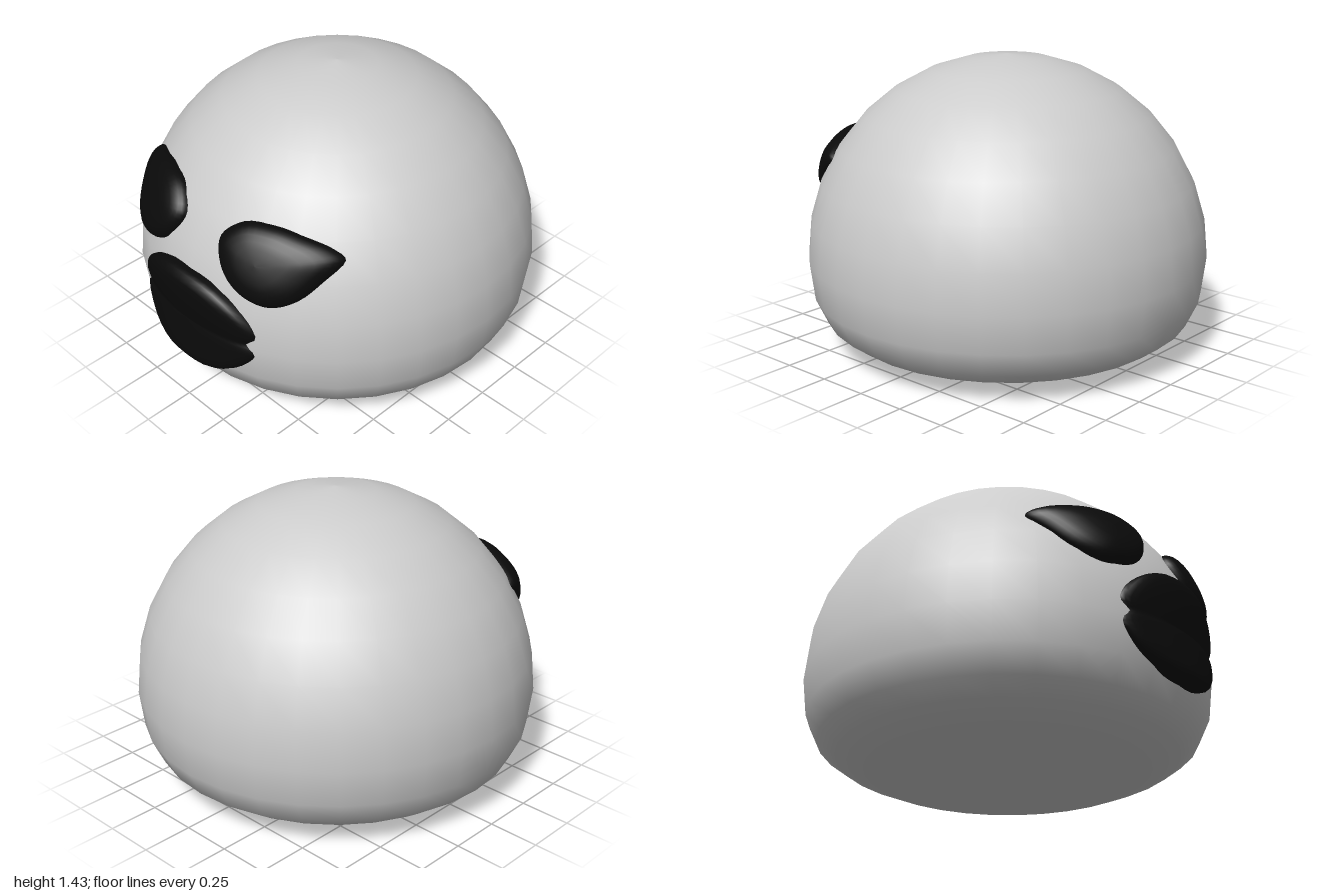
import * as THREE from 'three';

const CX = 0.01, MID = 0.45, R = 0.985;

// Body profile [radius, height]: squashed underside, then a spherical dome
const profile = [[0, 0], [0.38, 0], [0.55, 0.004], [0.695, 0.03], [0.815, 0.08], [0.905, 0.146], [0.963, 0.27]];
for (let i = 0; i <= 8; i++) {
  const a = (i / 8) * Math.PI / 2;
  profile.push([R * Math.cos(a), MID + R * Math.sin(a)]);
}

function bodyRadius(y) {
  if (y >= MID) return Math.sqrt(Math.max(0, R * R - (y - MID) ** 2));
  for (let i = 2; i < profile.length; i++) {
    const [r0, y0] = profile[i - 1], [r1, y1] = profile[i];
    if (y <= y1) return r0 + (r1 - r0) * (y - y0) / (y1 - y0);
  }
  return R;
}

// Raised patch on the -x side: a closed counter-clockwise (z, y) outline,
// filled with rings that follow the body and rise by height(y) * rim(t)
function patch(outline, centre, height, rim) {
  const N = 48;
  const curve = new THREE.CatmullRomCurve3(outline.map(([z, y]) => new THREE.Vector3(0, y, z)), true);
  const edge = curve.getPoints(N).slice(0, N);
  const rings = [0, 0.2, 0.4, 0.55, 0.7, 0.8, 0.88, 0.94, 0.98, 1];
  const pos = [], index = [];
  rings.forEach((t, k) => {
    edge.forEach((e, i) => {
      const z = centre[0] + (e.z - centre[0]) * t;
      const y = centre[1] + (e.y - centre[1]) * t;
      const x = -Math.sqrt(Math.max(0, bodyRadius(y) ** 2 - z * z));
      const p = new THREE.Vector3(x, y, z);
      const out = new THREE.Vector3(x, y - MID, z).normalize();
      p.addScaledVector(out, height(y) * rim(t) - 0.012 * t ** 8);
      pos.push(p.x + CX, p.y, p.z);
      if (k > 0) {
        const j = (i + 1) % N, a = (k - 1) * N, b = k * N;
        if (k > 1) index.push(a + i, b + i, a + j);
        index.push(a + j, b + i, b + j);
      }
    });
  });
  const g = new THREE.BufferGeometry();
  g.setAttribute('position', new THREE.Float32BufferAttribute(pos, 3));
  g.setIndex(index);
  g.computeVertexNormals();
  return g;
}

export function createModel() {
  const model = new THREE.Group();
  const grey = new THREE.MeshStandardMaterial({ color: 0xcccccc });
  const black = new THREE.MeshStandardMaterial({ color: 0x0a0a0a, side: THREE.DoubleSide });
  const add = (name, geometry, material) => {
    const mesh = new THREE.Mesh(geometry, material);
    mesh.name = name;
    model.add(mesh);
  };

  // Body
  const body = new THREE.LatheGeometry(profile.map(([r, y]) => new THREE.Vector2(Math.max(r, 0), y)), 32);
  body.translate(CX, 0, 0);
  add('body', body, grey);

  // Egg-shaped eyes, narrow end outward
  const eye = [[0.12, 0.94], [0.15, 0.85], [0.22, 0.77], [0.32, 0.715], [0.43, 0.7], [0.53, 0.75],
    [0.6, 0.85], [0.635, 0.93], [0.58, 0.975], [0.46, 1.015], [0.34, 1.035], [0.2, 1.02]];
  const dome = (t) => Math.sqrt(1 - t ** 3);
  for (const s of [1, -1]) {
    const outline = eye.map(([z, y]) => [s * z, y]);
    if (s < 0) outline.reverse();
    add(s > 0 ? 'rightEye' : 'leftEye', patch(outline, [s * 0.34, 0.88], () => 0.06, dome), black);
  }

  // Mouth: two lips meeting in a groove, notched at both corners
  const half = [[0, 0.23], [0.15, 0.243], [0.27, 0.295], [0.355, 0.37], [0.39, 0.43], [0.355, 0.475],
    [0.39, 0.52], [0.355, 0.59], [0.27, 0.665], [0.15, 0.72], [0, 0.735]];
  const mouth = [...half, ...half.slice(1, -1).reverse().map(([z, y]) => [-z, y])];
  const lips = (y) => 0.006 + 0.26 * Math.abs(y - 0.475);
  add('mouth', patch(mouth, [0, 0.475], lips, (t) => Math.sqrt(1 - t ** 10)), black);

  return model;
}
